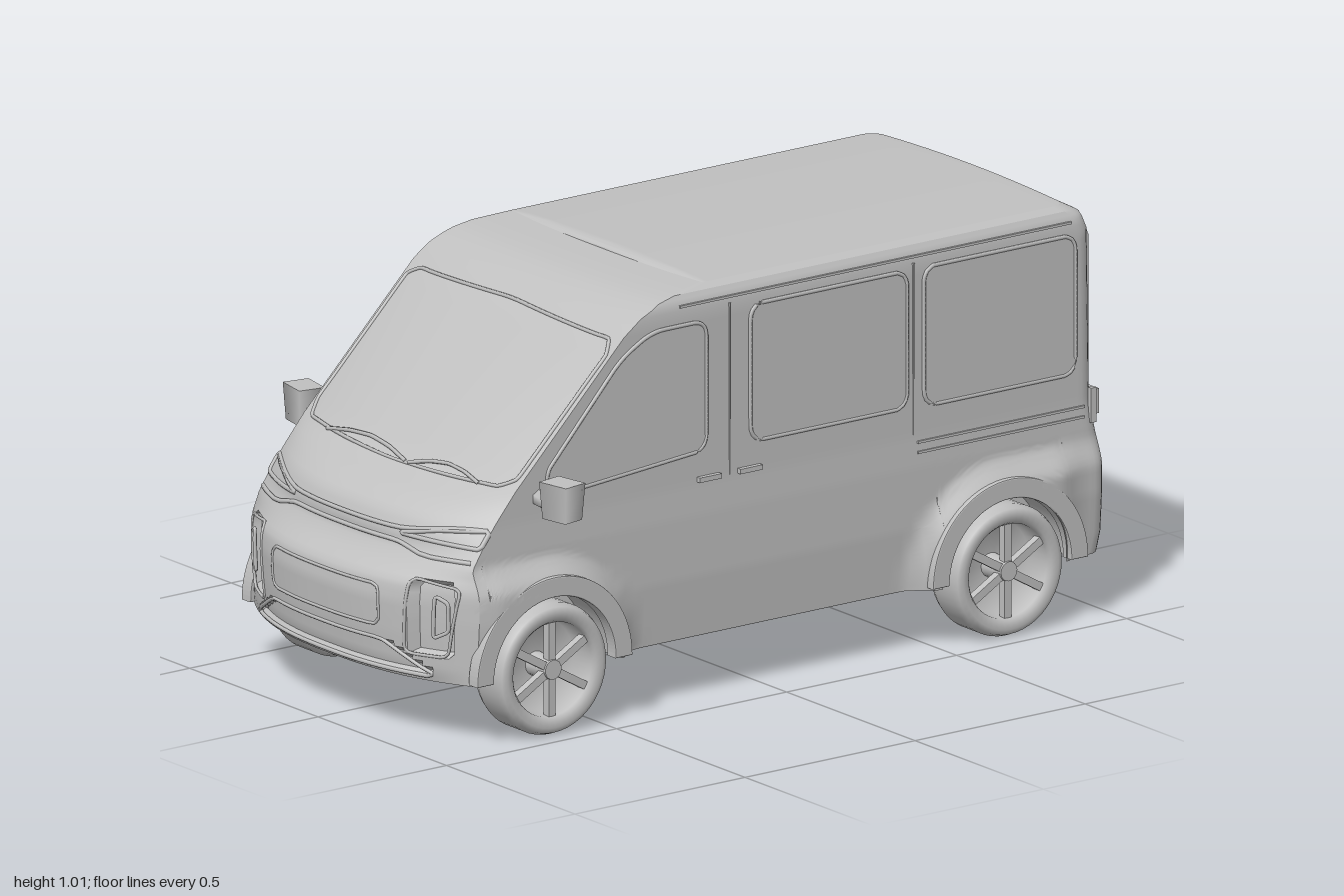
import * as THREE from 'three';
import { toCreasedNormals } from 'three/addons/utils/BufferGeometryUtils.js';

const grey = new THREE.MeshStandardMaterial({ color: 0xc0c0c0 });
grey.name = 'light grey';

const AXLES = [0.65, -0.69], AXLE_Y = 0.16, ARCH = 0.185;
const smooth = THREE.MathUtils.smoothstep;

// Linear lookup in a table of [key, value] pairs
function tab(t, y) {
  for (let i = 1; i < t.length; i++) {
    if (y <= t[i][0]) {
      const f = Math.max(0, (y - t[i - 1][0]) / (t[i][0] - t[i - 1][0]));
      return t[i - 1][1] + f * (t[i][1] - t[i - 1][1]);
    }
  }
  return t[t.length - 1][1];
}
// Body profiles by height: nose on the centre line, nose at the sides, tail, half width
const NOSE = [[0.15, 0.965], [0.18, 0.985], [0.26, 0.995], [0.34, 1], [0.385, 0.993], [0.43, 0.95], [0.46, 0.93],
  [0.49, 0.93], [0.53, 0.91], [0.565, 0.86], [0.595, 0.79], [0.925, 0.43], [0.955, 0.385], [0.98, 0.32], [0.99, 0.27], [1, 0.17]];
const NOSE_SIDE = [[0.15, 0.86], [0.43, 0.86], [0.49, 0.82], [0.53, 0.79], [0.6, 0.73], [0.925, 0.405], [0.955, 0.36],
  [0.98, 0.3], [0.99, 0.25], [1, 0.15]];
const TAIL = [[0.15, -0.985], [0.2, -0.995], [0.42, -0.995], [0.52, -0.975], [0.94, -0.97], [0.98, -0.955], [1, -0.92]];
const HALF = [[0.15, 0.405], [0.3, 0.415], [0.45, 0.415], [0.52, 0.412], [0.94, 0.41], [0.97, 0.406], [0.99, 0.394], [1, 0.372]];

// Half width including the flared fenders
function halfWidth(y, z) {
  let flare = 0;
  for (const a of AXLES) {
    const out = (z - a) * Math.sign(a);
    const d = out > 0 ? Math.abs(y - AXLE_Y) : Math.hypot(z - a, y - AXLE_Y);
    const taper = 1 - 0.5 * smooth(out, 0.14, 0.24);
    if (out > -0.35 && out < 0.4) flare = Math.max(flare, 0.045 * taper * (1 - smooth(d, 0.2, 0.28)));
  }
  return tab(HALF, y) + flare;
}
// Recessed lower intake and corner vents in the bumper
function recess(x, y) {
  const ax = Math.abs(x);
  const intake = y > 0.17 && y < 0.235 && ax < 0.34 - (y - 0.17) * 1.8;
  const vent = y > 0.22 && y < 0.39 && ax > 0.29 && ax < 0.385;
  return vent ? 0.025 : intake ? 0.018 : 0;
}
function frontZ(x, y) {
  const f = tab(NOSE, y), s = tab(NOSE_SIDE, y);
  return f - (f - s) * Math.pow(Math.min(1, Math.abs(x) / halfWidth(y, s)), 2.5);
}

// Columns of the half outline: front, side, rear corner, rear
const columns = [];
for (let i = 0; i < 36; i++) columns.push({ k: i / 36 });
const sideZ = [];
for (let z = 0.86; z > -0.951; z -= 0.03) {
  if (AXLES.every(a => Math.abs(z - a) > ARCH)) sideZ.push(z);
}
for (const a of AXLES) for (let i = 0; i <= 24; i++) sideZ.push(a + ARCH * Math.cos(i * Math.PI / 24));
sideZ.push(-0.955);
sideZ.sort((a, b) => b - a).forEach(z => columns.push({ z }));
for (let i = 1; i <= 5; i++) columns.push({ corner: i * Math.PI / 10 });
for (let i = 1; i <= 8; i++) columns.push({ rear: 1 - i / 8 });

function bodyPoint(c, y) {
  const s = tab(NOSE_SIDE, y), b = tab(TAIL, y) + 0.04;
  if (c.k !== undefined) {
    const x = c.k * halfWidth(y, s);
    return [x, y, frontZ(x, y) - recess(x, y)];
  }
  if (c.z !== undefined) {
    const z = b + (c.z + 0.955) / 1.815 * (s - b);
    for (const a of AXLES) {
      const d = ARCH * ARCH - (c.z - a) ** 2;
      if (d >= 0 && y < 0.5) {
        const low = AXLE_Y + Math.sqrt(d);
        y = low + (y - 0.15) / 0.35 * (0.5 - low);
      }
    }
    return [halfWidth(y, z), y, z];
  }
  const w = halfWidth(y, b) - 0.04;
  if (c.corner) return [w + 0.04 * Math.cos(c.corner), y, b - 0.04 * Math.sin(c.corner)];
  return [w * c.rear, y, b - 0.04];
}

// Grid surface: rows run up, columns run right as seen from the outside
function surface(rows, cols, fn, flip) {
  const pos = [], idx = [];
  for (let r = 0; r < rows; r++) for (let c = 0; c < cols; c++) pos.push(...fn(r, c));
  for (let r = 0; r < rows - 1; r++) for (let c = 0; c < cols - 1; c++) {
    const a = r * cols + c, b = a + 1, d = a + cols, e = d + 1;
    idx.push(...(flip ? [a, e, b, a, d, e] : [a, b, e, a, e, d]));
  }
  const g = new THREE.BufferGeometry();
  g.setAttribute('position', new THREE.Float32BufferAttribute(pos, 3));
  g.setIndex(idx);
  return toCreasedNormals(g, 0.6);
}

// Polygon with rounded corners
function roundedShape(pts, r) {
  const v = pts.map(p => new THREE.Vector2(...p)), n = v.length, s = new THREE.Shape();
  v.forEach((p, i) => {
    const a = v[(i + n - 1) % n].clone().sub(p).setLength(r).add(p);
    const b = v[(i + 1) % n].clone().sub(p).setLength(r).add(p);
    if (i) s.lineTo(a.x, a.y); else s.moveTo(a.x, a.y);
    s.quadraticCurveTo(p.x, p.y, b.x, b.y);
  });
  s.closePath();
  return s;
}
const rect = (a, b, c, d) => [[a, b], [c, b], [c, d], [a, d]];
const flipX = pts => pts.map(([x, y]) => [-x, y]).reverse();

export function createModel() {
  const van = new THREE.Group();
  van.name = 'van';
  const add = (name, geo, x = 0, y = 0, z = 0, parent = van) => {
    const m = new THREE.Mesh(geo, grey);
    m.name = name;
    m.position.set(x, y, z);
    parent.add(m);
    return m;
  };
  const box = (name, w, h, d, x, y, z) => add(name, new THREE.BoxGeometry(w, h, d), x, y, z);
  const tube = (name, pts, r, closed = false) => add(name, new THREE.TubeGeometry(
    new THREE.CatmullRomCurve3(pts.map(p => new THREE.Vector3(...p)), closed, 'catmullrom', 0.2), pts.length * 4, r, 6, closed));
  // Trim line that follows the nose
  const noseFrame = (name, pts, r, thick) => tube(name,
    roundedShape(pts, r).getSpacedPoints(50).slice(0, -1).map(p => [p.x, p.y, frontZ(p.x, p.y)]), thick, true);

  // Body shell, roof and floor
  const levels = [];
  for (let y = 0.15; y < 0.6; y += 0.0125) levels.push(y);
  for (let y = 0.6; y < 0.93; y += 0.04) levels.push(y);
  levels.push(0.94, 0.955, 0.97, 0.98, 0.985, 0.99, 0.995, 1);
  const n = columns.length;
  add('bodyShell', surface(levels.length, 2 * n - 1, (r, c) => {
    const p = bodyPoint(columns[c < n ? c : 2 * n - 2 - c], levels[r]);
    return c < n ? p : [-p[0], p[1], p[2]];
  }));
  add('roof', surface(n, 13, (i, j) => {
    const p = bodyPoint(columns[i], 1), t = j / 6 - 1;
    return [p[0] * t, 1 + 0.01 * (p[0] / 0.372) * (1 - t * t), p[2]];
  }));
  add('floor', surface(n, 3, (i, j) => {
    const p = bodyPoint(columns[i], 0.15);
    return [(p[1] > 0.165 ? 0.33 : p[0]) * (j - 1), 0.15, p[2]];
  }, true));

  // Nose: windscreen surround, headlight band, grille and vent trims
  noseFrame('windscreenFrame', [[-0.395, 0.605], [0, 0.597], [0.395, 0.605], [0.395, 0.91], [0, 0.925], [-0.395, 0.91]], 0.03, 0.005);
  noseFrame('grilleFrame', rect(-0.205, 0.27, 0.205, 0.37), 0.025, 0.004);
  noseFrame('intakeFrame', [[-0.35, 0.163], [0.35, 0.163], [0.21, 0.238], [-0.21, 0.238]], 0.02, 0.005);
  const lamp = [[0.2, 0.485], [0.41, 0.475], [0.41, 0.515], [0.3, 0.505]];
  const vent = [[0.27, 0.215], [0.375, 0.215], [0.405, 0.385], [0.285, 0.4]];
  const fog = [[0.345, 0.26], [0.38, 0.28], [0.38, 0.35], [0.35, 0.365]];
  for (const f of [p => p, flipX]) {
    noseFrame('headlight', f(lamp), 0.01, 0.006);
    noseFrame('ventFrame', f(vent), 0.02, 0.004);
    noseFrame('fogLight', f(fog), 0.01, 0.005);
  }
  const across = (fn) => Array.from({ length: 25 }, (_, i) => {
    const x = (i / 12 - 1) * 0.405, y = fn(Math.abs(x));
    return [x, y, frontZ(x, y)];
  });
  tube('upperNoseTrim', across(x => 0.495 + 0.02 * smooth(x, 0.18, 0.38)), 0.006);
  tube('lowerNoseTrim', across(x => 0.465 - 0.02 * smooth(x, 0.18, 0.3)), 0.006);

  // Wipers
  for (const [x0, x1] of [[-0.27, 0.06], [0.07, 0.31]]) {
    tube('wiper', [0, 0.25, 0.5, 0.75, 1].map(t => {
      const x = x0 + t * (x1 - x0), y = 0.602 + 0.02 * Math.sin(t * Math.PI);
      return [x, y, frontZ(x, y) + 0.006];
    }), 0.005);
  }

  // Side windows, door gaps, handles, rails
  const windows = {
    frontWindow: [[0.17, 0.92], [0.33, 0.92], [0.42, 0.87], [0.65, 0.62], [0.62, 0.57], [0.17, 0.605]],
    middleWindow: rect(0.04, 0.6, -0.42, 0.935),
    rearWindow: rect(-0.47, 0.595, -0.915, 0.935),
  };
  for (const s of [1, -1]) {
    for (const [name, pts] of Object.entries(windows)) {
      const shape = roundedShape(pts.map(([z, y]) => [-z, y]), 0.04);
      const g = new THREE.ExtrudeGeometry(shape, { depth: 0.008, bevelEnabled: false, curveSegments: 6 });
      add(name, g.rotateY(Math.PI / 2), s > 0 ? 0.406 : -0.414);
      tube(name + 'Frame', shape.getPoints(6).map(p => [s * 0.412, p.y, -p.x]), 0.005, true);
    }
    for (const z of [0.1, -0.44]) box('doorGap', 0.006, 0.42, 0.004, s * 0.411, 0.74, z);
    for (const z of [0.165, 0.045]) box('doorHandle', 0.014, 0.012, 0.065, s * 0.417, 0.535, z);
    for (const y of [0.485, 0.51]) box('slidingRail', 0.006, 0.006, 0.49, s * 0.414, y, -0.695);
    box('roofGutter', 0.008, 0.006, 1.15, s * 0.408, 0.965, -0.33);

    // Mirrors
    const head = add('mirrorHead', new THREE.CylinderGeometry(0.056, 0.048, 0.09, 4, 1).rotateY(Math.PI / 4), s * 0.503, 0.588, 0.662);
    head.scale.set(1.08, 1, 0.85);
    head.rotation.y = s * 0.18;
    tube('mirrorArm', [[s * 0.395, 0.575, 0.66], [s * 0.44, 0.572, 0.665], [s * 0.48, 0.58, 0.665]], 0.02);

    // Tail lamps and tow points
    box('tailLamp', 0.09, 0.06, 0.012, s * 0.365, 0.515, -0.981);
    box('tailLampSide', 0.012, 0.085, 0.016, s * 0.413, 0.51, -0.965);
    add('towPoint', new THREE.SphereGeometry(0.016, 12, 8), s * 0.29, 0.225, -0.993);
  }

  // Rear: window, bumper recess trim and number plate
  const rearShape = roundedShape(rect(-0.375, 0.565, 0.375, 0.935), 0.03);
  add('tailgateWindow', new THREE.ExtrudeGeometry(rearShape, { depth: 0.008, bevelEnabled: false }), 0, 0, -0.978);
  tube('tailgateWindowFrame', rearShape.getPoints(6).map(p => [p.x, p.y, -0.975]), 0.006, true);
  tube('bumperFrame', roundedShape([[-0.29, 0.235], [0.29, 0.235], [0.25, 0.355], [-0.25, 0.355]], 0.02)
    .getPoints(6).map(p => [p.x, p.y, -0.994]), 0.005, true);
  box('numberPlate', 0.18, 0.06, 0.008, 0, 0.325, -0.997);

  // Wheels with spoked rims, wells and arch lips
  const tyre = new THREE.LatheGeometry([[0.118, -0.05], [0.14, -0.058], [0.153, -0.052], [0.16, -0.035], [0.16, 0.035],
    [0.153, 0.052], [0.14, 0.058], [0.122, 0.054], [0.115, 0.045], [0.11, -0.02], [0, -0.02]]
    .map(p => new THREE.Vector2(...p)), 48).rotateZ(-Math.PI / 2);
  const lipShape = new THREE.Shape().absarc(0, 0, 0.225, 0, Math.PI, false);
  lipShape.absarc(0, 0, ARCH - 0.003, Math.PI, 0, true);
  const lip = new THREE.ExtrudeGeometry(lipShape, { depth: 0.03, bevelEnabled: true, bevelSize: 0.003,
    bevelThickness: 0.003, bevelSegments: 2, curveSegments: 32 }).rotateY(Math.PI / 2);
  const wellGeo = surface(2, 25, (r, c) => {
    const t = c * Math.PI / 24;
    return [r ? 0.06 : -0.06, ARCH * Math.sin(t), ARCH * Math.cos(t)];
  });
  const liner = grey.clone();
  liner.side = THREE.DoubleSide;
  for (const s of [1, -1]) for (const z of AXLES) {
    const wheel = new THREE.Group();
    wheel.name = 'wheel';
    wheel.position.set(s * 0.403, AXLE_Y, z);
    wheel.rotation.y = s > 0 ? 0 : Math.PI;
    van.add(wheel);
    add('tyre', tyre, 0, 0, 0, wheel).material = liner;
    for (let i = 0; i < 6; i++) {
      const spoke = new THREE.BoxGeometry(0.02, 0.1, 0.02).translate(0.035, 0.065, 0);
      add('spoke', spoke.rotateX(i * Math.PI / 3), 0, 0, 0, wheel);
    }
    add('hub', new THREE.CylinderGeometry(0.024, 0.03, 0.07, 16).rotateZ(-Math.PI / 2), 0.015, 0, 0, wheel);
    add('archLip', lip, s > 0 ? 0.427 : -0.457, AXLE_Y, z);
    add('wheelWell', wellGeo, s * 0.39, AXLE_Y, z).material = liner;
    add('wellWall', new THREE.CircleGeometry(ARCH, 24, 0, Math.PI).rotateY(Math.PI / 2), s * 0.33, AXLE_Y, z).material = liner;
  }
  return van;
}
